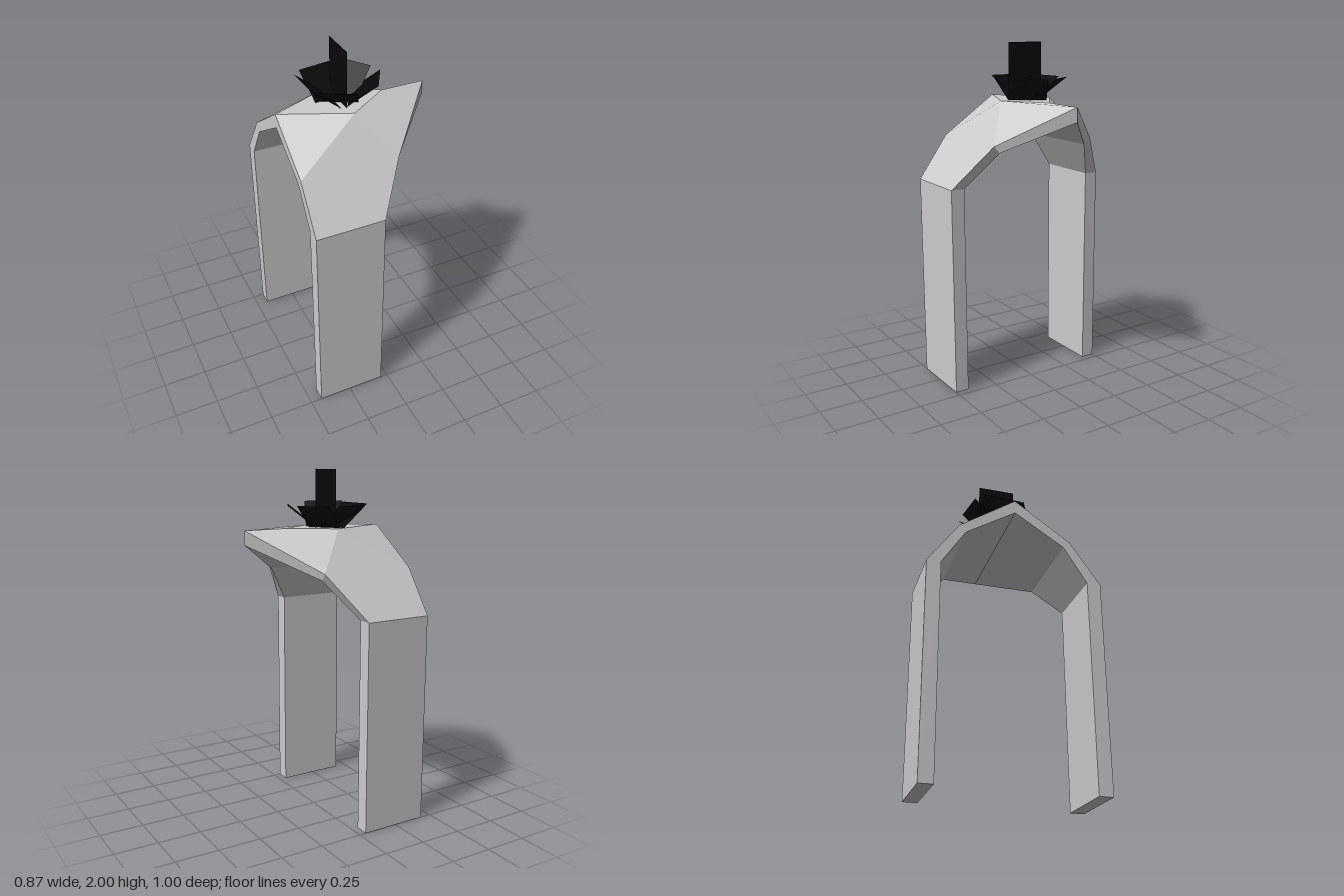
import * as THREE from 'three';

const stone = new THREE.MeshStandardMaterial({ color: 0xcccccc });
stone.name = 'paleStone';
const black = new THREE.MeshStandardMaterial({ color: 0x080808, side: THREE.DoubleSide });
black.name = 'blackLeaf';

// Flat-shaded solid from polygons: one normal per polygon, fanned into triangles
function polygonGeometry(polygons) {
  const positions = [], normals = [];
  for (const polygon of polygons) {
    const pts = polygon.map((p) => new THREE.Vector3(...p));
    const normal = new THREE.Vector3();
    pts.forEach((p, i) => normal.add(p.clone().cross(pts[(i + 1) % pts.length])));
    normal.normalize();
    for (let i = 1; i < pts.length - 1; i++) {
      for (const p of [pts[0], pts[i], pts[i + 1]]) {
        positions.push(...p.toArray());
        normals.push(...normal.toArray());
      }
    }
  }
  const geometry = new THREE.BufferGeometry();
  geometry.setAttribute('position', new THREE.Float32BufferAttribute(positions, 3));
  geometry.setAttribute('normal', new THREE.Float32BufferAttribute(normals, 3));
  return geometry;
}

// Faceted arch: one half is described, the other is mirrored in z
function archGeometry() {
  const back = -0.435, tip = 0.435;
  // outer skin
  const L0 = [back, 1.21, 0.5], R0 = [-0.04, 1.21, 0.5];
  const L1 = [back, 1.46, 0.322], R1 = [0.125, 1.46, 0.322];
  const M = [-0.06, 1.68, 0.165], A = [back, 1.68, 0], D = [0.18, 1.68, 0], T = [tip, 1.68, 0];
  // inner skin
  const l0 = [back, 1.21, 0.42], r0 = [-0.04, 1.21, 0.42];
  const l1 = [back, 1.42, 0.285], r1 = [0.12, 1.42, 0.285];
  const a = [back, 1.6, 0], t = [tip, 1.6, 0];
  const half = [
    [M, L1, L0, R0, R1], [M, A, L1], [M, R1, T, D], [M, D, A],
    [r0, l0, l1, r1], [r1, l1, a, t],
    [L0, L1, l1, l0], [L1, A, a, l1],
    [R0, r0, r1, R1], [R1, r1, t, T],
  ];
  const mirrored = half.map((f) => f.map(([x, y, z]) => [x, y, -z]).reverse());
  return polygonGeometry([...half, ...mirrored]);
}

// Slanted leaf: outer edge p-q (x, z) at the top, sloping inward to the roof
function leafGeometry([px, pz], [qx, qz], topY) {
  const run = 0.16, width = Math.hypot(qx - px, qz - pz);
  const nx = -(qz - pz) / width * run, nz = (qx - px) / width * run;
  return polygonGeometry([[
    [px, topY, pz], [px + nx, 1.68, pz + nz], [qx + nx, 1.68, qz + nz], [qx, topY, qz],
  ]]);
}

export function createModel() {
  const group = new THREE.Group();
  const add = (name, geometry, material) => {
    const mesh = new THREE.Mesh(geometry, material);
    mesh.name = name;
    group.add(mesh);
    return mesh;
  };

  add('arch', archGeometry(), stone);

  // Legs
  for (const [name, side] of [['frontLeg', 1], ['backLeg', -1]]) {
    add(name, new THREE.BoxGeometry(0.395, 1.21, 0.08), stone)
      .position.set(-0.2375, 0.605, side * 0.46);
  }

  // Plant: a ring of slanted leaves around one upright leaf
  const leaves = [
    [[-0.225, -0.18], [-0.035, -0.21], 1.805],
    [[0.035, -0.22], [0.145, -0.065], 1.805],
    [[0.17, 0], [0.075, 0.165], 1.805],
    [[-0.065, 0.212], [-0.262, 0.11], 1.815],
    [[-0.262, 0.1], [-0.272, -0.135], 1.81],
  ];
  leaves.forEach(([p, q, y], i) => add('slantedLeaf' + (i + 1), leafGeometry(p, q, y), black));
  const upright = add('uprightLeaf', new THREE.PlaneGeometry(0.22, 0.32), black);
  upright.rotation.y = Math.PI / 2;
  upright.position.set(-0.075, 1.84, -0.005);

  return group;
}
